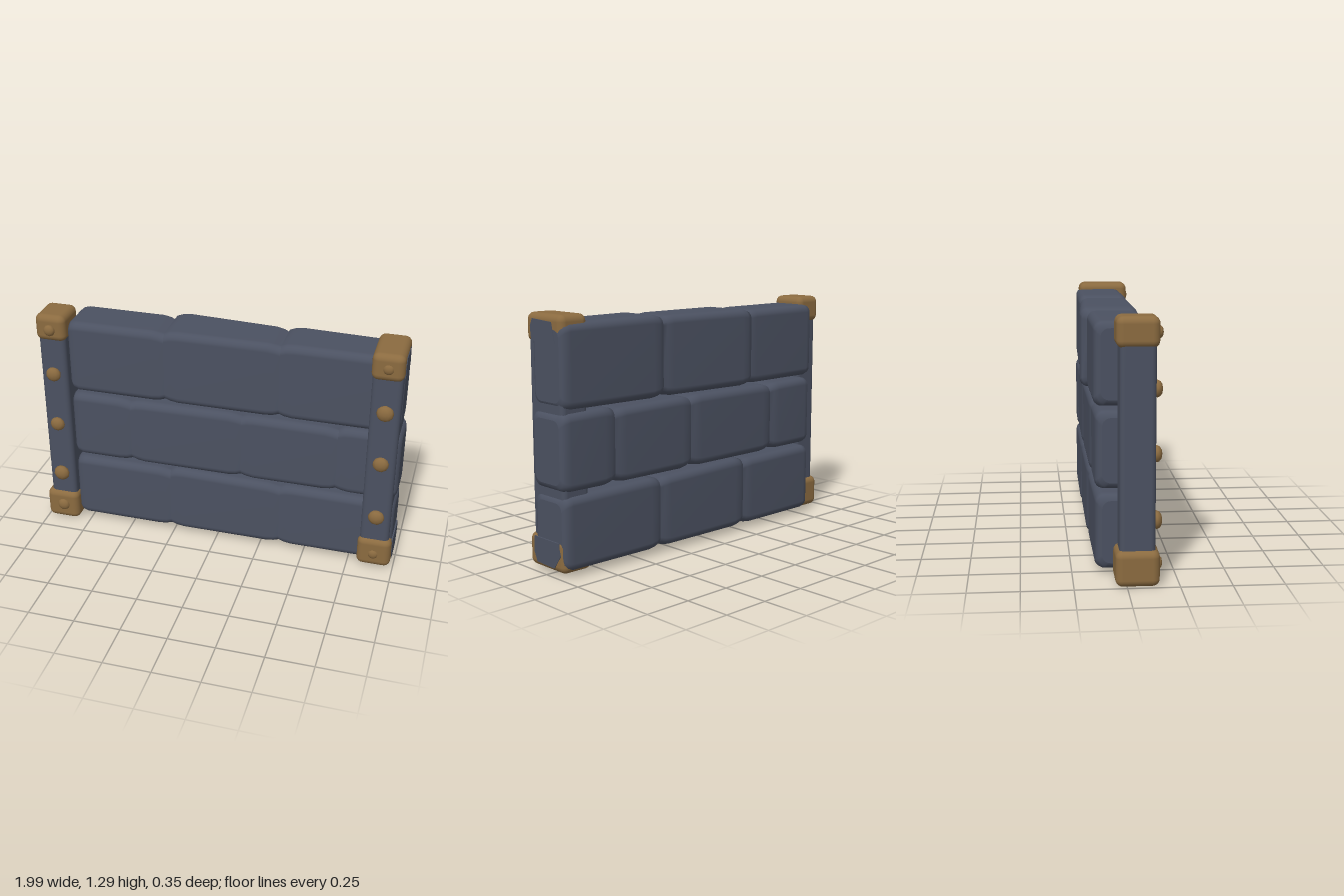
import * as THREE from 'three';
import { RoundedBoxGeometry } from 'three/addons/geometries/RoundedBoxGeometry.js';

const slate = new THREE.MeshStandardMaterial({ color: 0x4b5161 });
slate.name = 'slate';
const brass = new THREE.MeshStandardMaterial({ color: 0x8b6b40 });
brass.name = 'brass';

function add(parent, name, geometry, material) {
  const mesh = new THREE.Mesh(geometry, material);
  mesh.name = name;
  parent.add(mesh);
  return mesh;
}

// Rounded box given by its lower and upper corners
function block(parent, name, material, lo, hi, radius) {
  const size = hi.map((h, i) => h - lo[i]);
  const mesh = add(parent, name, new RoundedBoxGeometry(...size, 3, radius), material);
  mesh.position.set(...hi.map((h, i) => (h + lo[i]) / 2));
  return mesh;
}

// Rounded rectangle around the x axis, from +y towards +z
function ring(x, y0, y1, z0, z1, r) {
  const points = [];
  const corners = [[y1 - r, z1 - r], [y0 + r, z1 - r], [y0 + r, z0 + r], [y1 - r, z0 + r]];
  corners.forEach(([y, z], q) => {
    for (let k = 0; k <= 5; k++) {
      const a = (q + k / 5) * Math.PI / 2;
      points.push([x, y + r * Math.cos(a), z + r * Math.sin(a)]);
    }
  });
  return points;
}

// One course: stones [x0, x1, top0, top1, back0, back1] joined by shallow grooves
function courseGeometry(bottom, stones) {
  const front = 0.122;
  const rings = [];
  stones.forEach(([x0, x1, top0, top1, back0, back1], s) => {
    const groove = [[0, 0.014], [0.03, 0.005], [0.07, 0]];
    const end = [[0, 0.034], [0.006, 0.018], [0.02, 0.006], [0.05, 0]];
    const start = s === 0 ? end : groove;
    const stop = s === stones.length - 1 ? end : groove;
    const stations = [
      ...start.map(([d, inset]) => [x0 + d, inset, s === 0 ? 1 : 0.25]),
      ...stop.map(([d, inset]) => [x1 - d, inset, s === stones.length - 1 ? 1 : 0.25]).reverse(),
    ];
    for (const [x, inset, frontShare] of stations) {
      const t = (x - x0) / (x1 - x0);
      rings.push(ring(x, bottom + inset, THREE.MathUtils.lerp(top0, top1, t) - inset,
        THREE.MathUtils.lerp(back0, back1, t) + inset, front - inset * frontShare, 0.042));
    }
  });
  const n = rings[0].length;
  const positions = rings.flat(2);
  const index = [];
  for (let i = 0; i < rings.length - 1; i++) {
    for (let j = 0; j < n; j++) {
      const k = (j + 1) % n;
      const a = i * n + j, d = i * n + k, b = a + n, c = d + n;
      index.push(a, d, b, d, c, b);
    }
  }
  // Flat ends
  for (const [r, flip] of [[rings[0], true], [rings[rings.length - 1], false]]) {
    const base = positions.length / 3;
    positions.push(...r.flat());
    for (let j = 1; j < n - 1; j++) {
      index.push(base, base + (flip ? j + 1 : j), base + (flip ? j : j + 1));
    }
  }
  const geometry = new THREE.BufferGeometry();
  geometry.setAttribute('position', new THREE.Float32BufferAttribute(positions, 3));
  geometry.setIndex(index);
  geometry.computeVertexNormals();
  return geometry;
}

// Thin slate face on the outer side of a cap, outlined in [z, y]
function sidePlate(parent, name, x, outline) {
  const shape = new THREE.Shape(outline.map(([z, y]) => new THREE.Vector2(-z, y)));
  const geometry = new THREE.ExtrudeGeometry(shape, { depth: 0.008, bevelEnabled: false });
  geometry.rotateY(Math.PI / 2);
  add(parent, name, geometry, slate).position.x = x;
}

export function createModel() {
  const model = new THREE.Group();
  model.name = 'wallPanel';

  // Three courses of stones
  const courses = new THREE.Group();
  courses.name = 'courses';
  model.add(courses);
  add(courses, 'bottomCourse', courseGeometry(0.03, [
    [-0.82, -0.26, 0.408, 0.405, -0.14, -0.143],
    [-0.26, 0.36, 0.42, 0.405, -0.148, -0.143],
    [0.36, 0.98, 0.412, 0.405, -0.147, -0.14],
  ]), slate);
  add(courses, 'middleCourse', courseGeometry(0.427, [
    [-0.82, -0.48, 0.812, 0.808, -0.14, -0.14],
    [-0.48, 0.14, 0.808, 0.812, -0.145, -0.145],
    [0.14, 0.66, 0.812, 0.806, -0.148, -0.143],
    [0.66, 0.985, 0.82, 0.815, -0.147, -0.14],
  ]), slate);
  add(courses, 'topCourse', courseGeometry(0.828, [
    [-0.82, -0.28, 1.235, 1.235, -0.147, -0.147],
    [-0.28, 0.34, 1.244, 1.244, -0.183, -0.143],
    [0.34, 0.972, 1.252, 1.248, -0.155, -0.136],
  ]), slate);

  // Posts
  block(model, 'rightPost', slate, [-0.975, 0.12, -0.035], [-0.825, 1.18, 0.135], 0.025);
  block(model, 'leftPost', slate, [0.812, 0.12, -0.115], [0.968, 1.2, 0.142], 0.025);

  // Brass caps
  block(model, 'rightTopCap', brass, [-0.985, 1.125, -0.052], [-0.817, 1.272, 0.15], 0.035);
  block(model, 'rightBottomCap', brass, [-1, 0, -0.055], [-0.812, 0.175, 0.155], 0.035);
  block(model, 'leftTopCap', brass, [0.806, 1.14, -0.122], [0.972, 1.286, 0.16], 0.035);
  block(model, 'leftBottomCap', brass, [0.802, 0.018, -0.125], [0.985, 0.188, 0.16], 0.035);
  sidePlate(model, 'leftTopCapFace', 0.967, [[0.11, 1.15], [-0.075, 1.15], [-0.05, 1.25], [0.1, 1.258], [0.118, 1.22]]);
  sidePlate(model, 'leftBottomCapFace', 0.98, [[0.11, 0.175], [0.115, 0.1], [0.09, 0.045], [-0.05, 0.04], [-0.1, 0.11], [-0.085, 0.175]]);

  // Studs down the front of both posts: [y, radius]
  const columns = [
    ['rightStud', -0.9, [[1.193, 0.032], [0.93, 0.042], [0.622, 0.041], [0.302, 0.045], [0.092, 0.036]]],
    ['leftStud', 0.892, [[1.21, 0.03], [0.958, 0.045], [0.658, 0.043], [0.328, 0.044], [0.095, 0.03]]],
  ];
  for (const [name, x, studs] of columns) {
    studs.forEach(([y, radius], i) => {
      const stud = add(model, name + (i + 1), new THREE.IcosahedronGeometry(radius, 1), brass);
      stud.geometry.rotateZ(i * 0.7 + x);
      stud.scale.z = 0.62;
      stud.position.set(x, y, i === 0 || i === 4 ? 0.152 : 0.145);
    });
  }
  return model;
}
